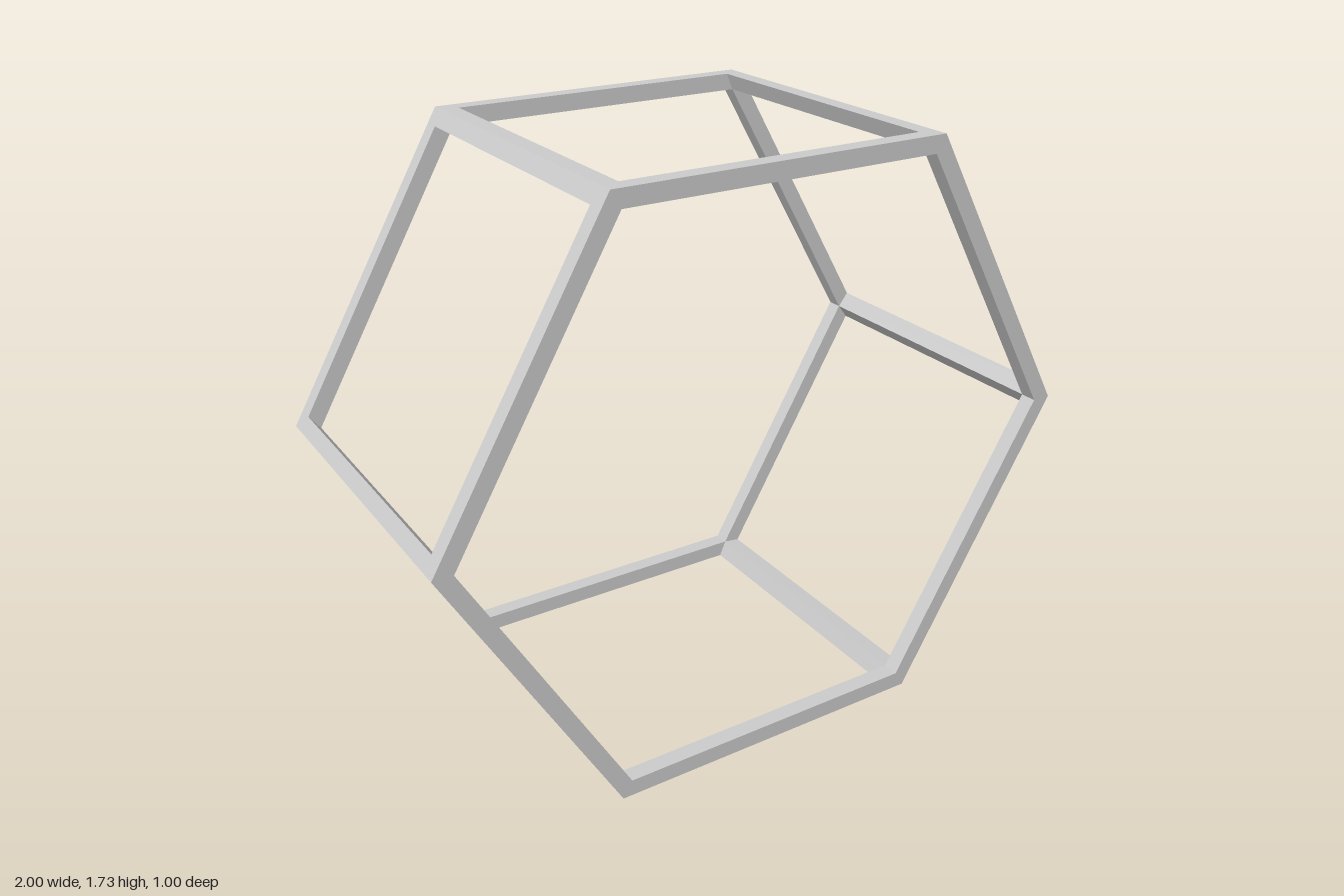
import * as THREE from 'three';

// Open frame of a hexagonal prism
const RADIUS = 1;
const HALF_DEPTH = 0.5;
const STRIP = 0.05; // width of the frame on every face
const INNER = RADIUS - STRIP / Math.cos(Math.PI / 6);
const CENTRE_Y = RADIUS * Math.cos(Math.PI / 6);

const hexagon = (r) => Array.from({ length: 6 }, (_, i) =>
  new THREE.Vector2(r * Math.cos(i * Math.PI / 3), r * Math.sin(i * Math.PI / 3)));

const extrude = (shape, depth) =>
  new THREE.ExtrudeGeometry(shape, { depth, bevelEnabled: false });

export function createModel() {
  const model = new THREE.Group();
  model.name = 'hexagonalPrismFrame';
  const material = new THREE.MeshStandardMaterial({ color: 0xcccccc, flatShading: true });

  const add = (name, geometry, z, angle = 0) => {
    const mesh = new THREE.Mesh(geometry, material);
    mesh.name = name;
    mesh.position.set(0, CENTRE_Y, z);
    mesh.rotation.z = angle;
    model.add(mesh);
  };

  // Hexagonal rings at the front and back
  const ringShape = new THREE.Shape(hexagon(RADIUS));
  ringShape.holes.push(new THREE.Path(hexagon(INNER).reverse()));
  const ring = extrude(ringShape, STRIP);
  add('frontRing', ring, HALF_DEPTH - STRIP);
  add('backRing', ring, -HALF_DEPTH);

  // Kite-shaped bars joining the ring corners
  const sx = RADIUS - STRIP * Math.cos(Math.PI / 3);
  const sy = STRIP * Math.sin(Math.PI / 3);
  const barShape = new THREE.Shape([
    new THREE.Vector2(RADIUS, 0),
    new THREE.Vector2(sx, sy),
    new THREE.Vector2(INNER, 0),
    new THREE.Vector2(sx, -sy),
  ]);
  const bar = extrude(barShape, 2 * (HALF_DEPTH - STRIP));
  for (let i = 0; i < 6; i++) {
    add(`cornerBar${i + 1}`, bar, -HALF_DEPTH + STRIP, i * Math.PI / 3);
  }

  return model;
}
